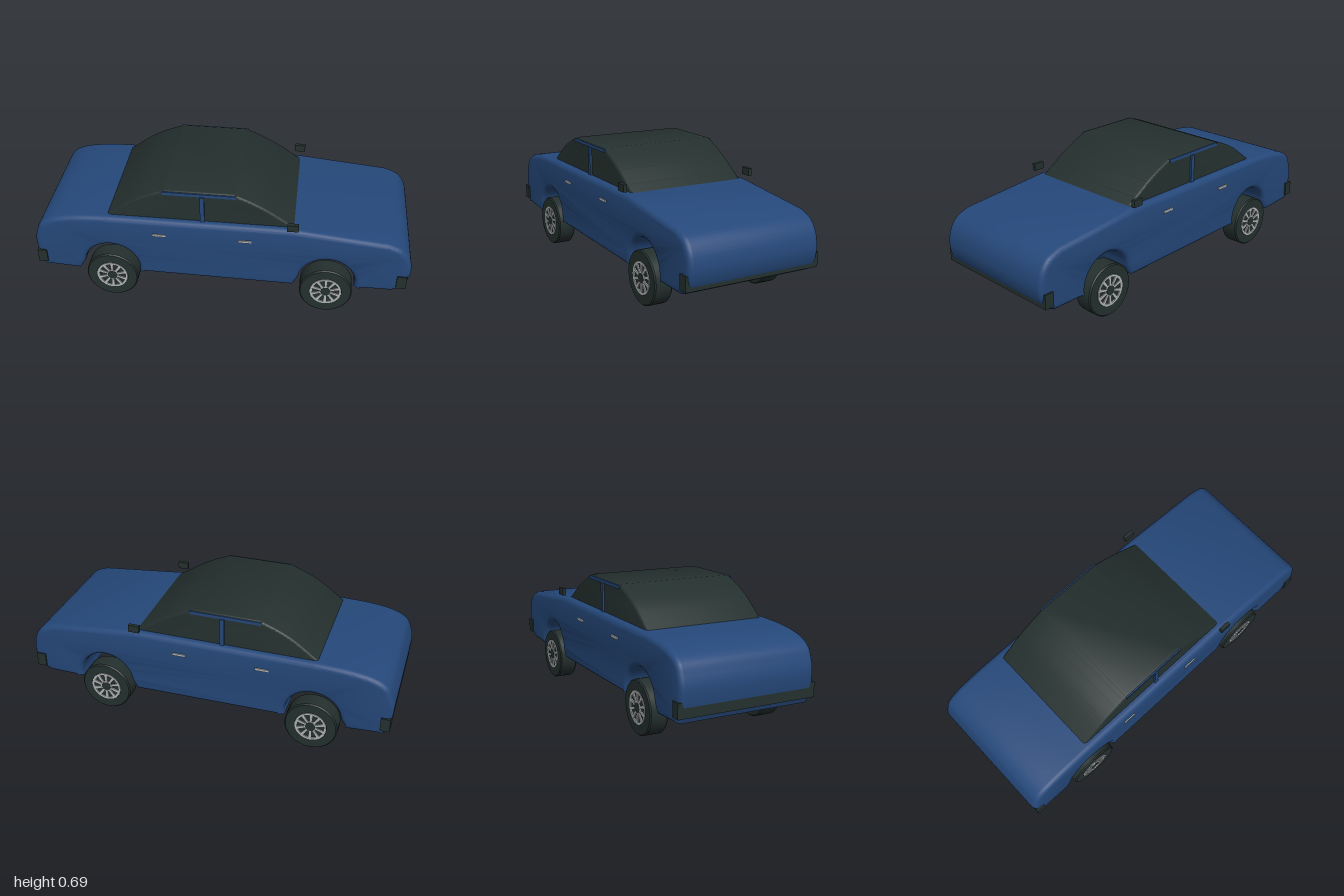
import * as THREE from 'three';
import { toCreasedNormals } from 'three/addons/utils/BufferGeometryUtils.js';

const paint = new THREE.MeshStandardMaterial({ color: 0x25487a });
const dark = new THREE.MeshStandardMaterial({ color: 0x24302e });
const silver = new THREE.MeshStandardMaterial({ color: 0xb2b6b8 });
paint.name = 'blue paint';
dark.name = 'dark glass and rubber';
silver.name = 'silver metal';

const v = (x, y) => new THREE.Vector2(x, y);

function add(parent, name, geometry, material, x = 0, y = 0, z = 0) {
  const mesh = new THREE.Mesh(geometry, material);
  mesh.name = name;
  mesh.position.set(x, y, z);
  parent.add(mesh);
  return mesh;
}

// Side profile extruded across the car, with rounded side edges
function slab(shape, halfWidth, bevel) {
  const geometry = new THREE.ExtrudeGeometry(shape, {
    depth: 2 * (halfWidth - bevel), curveSegments: 20,
    bevelEnabled: true, bevelThickness: bevel, bevelSize: bevel, bevelOffset: -bevel, bevelSegments: 5,
  });
  geometry.translate(0, 0, bevel - halfWidth);
  return toCreasedNormals(geometry, 0.6);
}

// Box given by its minimum and maximum corners
function block(parent, name, material, [x0, y0, z0], [x1, y1, z1]) {
  return add(parent, name, new THREE.BoxGeometry(x1 - x0, y1 - y0, z1 - z0), material,
    (x0 + x1) / 2, (y0 + y1) / 2, (z0 + z1) / 2);
}

function bodyShape() {
  const s = new THREE.Shape();
  s.moveTo(-0.965, 0.17);
  s.lineTo(-0.77, 0.157);
  s.lineTo(-0.74, 0.21);
  s.absarc(-0.59, 0.19, 0.15, 2.95, -0.1, true);
  s.lineTo(-0.443, 0.166);
  s.lineTo(0.39, 0.154);
  s.lineTo(0.418, 0.21);
  s.absarc(0.567, 0.19, 0.15, 2.95, -0.1, true);
  s.lineTo(0.714, 0.166);
  s.lineTo(0.91, 0.166);
  s.splineThru([v(0.955, 0.188), v(0.985, 0.228), v(1, 0.3), v(0.985, 0.38), v(0.94, 0.44), v(0.865, 0.472)]);
  s.lineTo(0.38, 0.52);
  s.lineTo(-0.59, 0.52);
  s.splineThru([v(-0.75, 0.514), v(-0.88, 0.493), v(-0.955, 0.455), v(-0.985, 0.4), v(-1, 0.33),
    v(-0.99, 0.235), v(-0.965, 0.17)]);
  return s;
}

function cabinShape() {
  const s = new THREE.Shape();
  s.moveTo(-0.61, 0.51);
  s.lineTo(0.395, 0.51);
  s.splineThru([v(0.25, 0.607), v(0.16, 0.656), v(0.07, 0.695)]);
  s.lineTo(-0.29, 0.695);
  s.splineThru([v(-0.39, 0.656), v(-0.48, 0.607), v(-0.61, 0.51)]);
  return s;
}

// Rim face with ten wedge-shaped openings
function rimGeometry() {
  const s = new THREE.Shape();
  s.absarc(0, 0, 0.084, 0, Math.PI * 2);
  for (let i = 0; i < 10; i++) {
    const a = (i / 10) * Math.PI * 2;
    const p = (r, da) => v(r * Math.cos(a + da), r * Math.sin(a + da));
    s.holes.push(new THREE.Path([p(0.032, -0.13), p(0.032, 0.13), p(0.073, 0.2), p(0.073, -0.2)]));
  }
  return new THREE.ExtrudeGeometry(s, { depth: 0.006, bevelEnabled: false, curveSegments: 20 });
}

function makeWheel(tyre, rim) {
  const wheel = new THREE.Group();
  wheel.name = 'wheel';
  add(wheel, 'tyre', tyre, dark).rotation.x = Math.PI / 2;
  add(wheel, 'spokedRim', rim, silver, 0, 0, 0.046);
  add(wheel, 'hubCap', new THREE.CylinderGeometry(0.027, 0.027, 0.008, 20), dark, 0, 0, 0.049)
    .rotation.x = Math.PI / 2;
  return wheel;
}

export function createModel() {
  const car = new THREE.Group();
  car.name = 'saloonCar';

  add(car, 'body', slab(bodyShape(), 0.366, 0.028), paint);
  add(car, 'cabin', slab(cabinShape(), 0.327, 0.015), dark);

  // Bumpers wrap the lower nose and tail
  block(car, 'frontBumper', dark, [0.93, 0.2, -0.374], [0.982, 0.277, 0.374]);
  block(car, 'rearBumper', dark, [-0.993, 0.2, -0.374], [-0.943, 0.277, 0.374]);

  // Tyre with small shoulders, sidewall closed to the axle
  const profile = [v(0, -0.046), v(0.09, -0.0495), v(0.134, -0.0495), v(0.14, -0.043),
    v(0.14, 0.043), v(0.134, 0.0495), v(0.085, 0.0495), v(0.083, 0.046), v(0, 0.046)];
  const tyre = toCreasedNormals(new THREE.LatheGeometry(profile, 40), 0.6);
  const rim = rimGeometry();

  for (const side of [1, -1]) {
    const half = new THREE.Group();
    half.name = side > 0 ? 'nearSide' : 'farSide';
    // Window frame
    block(half, 'roofRail', paint, [-0.3, 0.672, 0.31], [0.08, 0.689, 0.331]);
    block(half, 'doorPillar', paint, [-0.106, 0.51, 0.31], [-0.083, 0.672, 0.337]);
    // Handles and mirror
    for (const x of [-0.355, 0.095]) {
      block(half, 'doorHandle', silver, [x, 0.427, 0.36], [x + 0.073, 0.44, 0.372]);
    }
    block(half, 'wingMirror', dark, [0.346, 0.535, 0.365], [0.405, 0.574, 0.385]);
    for (const x of [-0.59, 0.567]) {
      const wheel = makeWheel(tyre, rim);
      wheel.position.set(x, 0.14, 0.325);
      half.add(wheel);
    }
    // Mirrored half; scaling keeps fore and aft in place
    half.scale.z = side;
    car.add(half);
  }
  return car;
}
